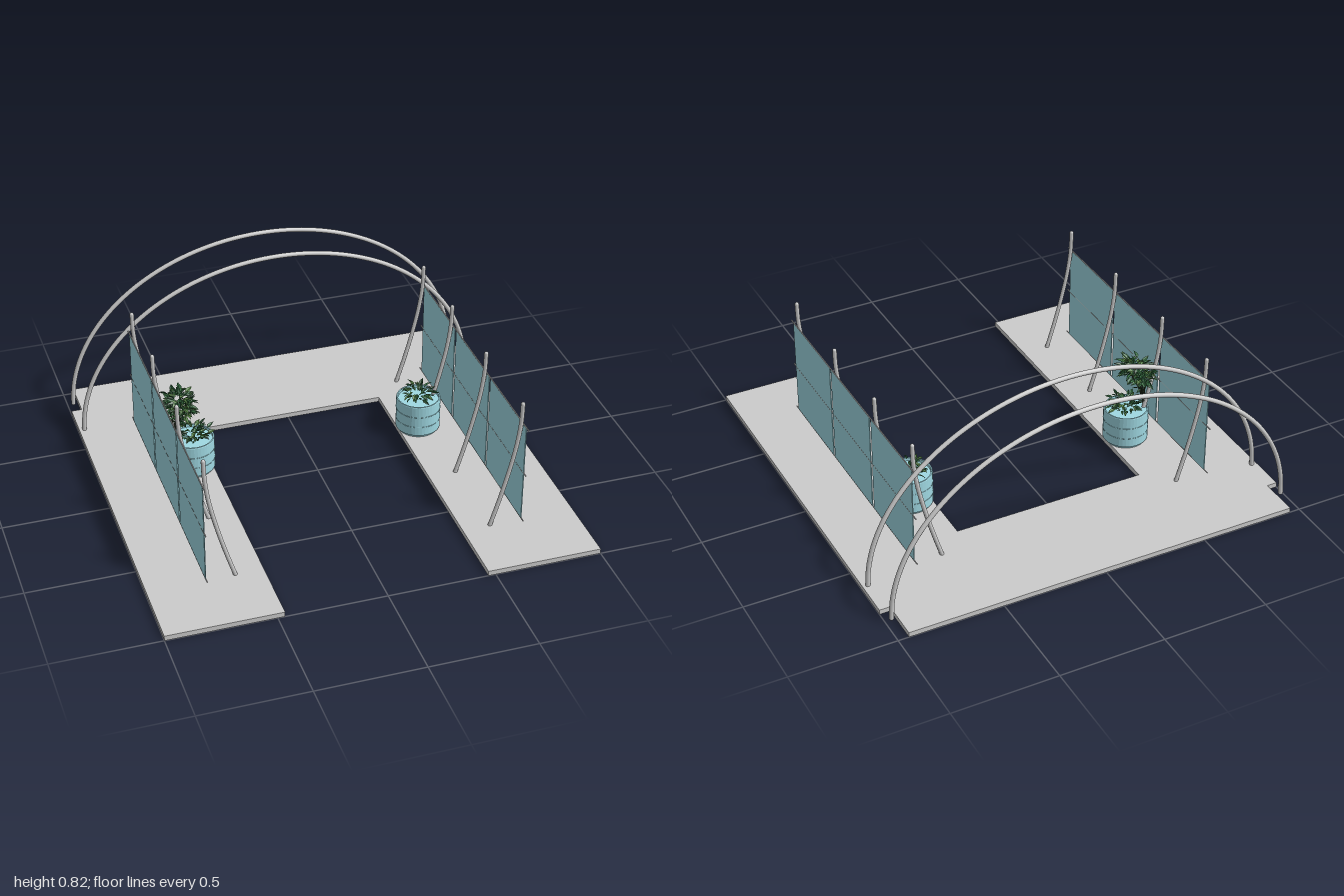
import * as THREE from 'three';
import { mergeGeometries } from 'three/addons/utils/BufferGeometryUtils.js';

const grey = new THREE.MeshStandardMaterial({ color: 0xcccccc });
const glass = new THREE.MeshStandardMaterial({ color: 0x9fd8e2 });
const soilGrey = new THREE.MeshStandardMaterial({ color: 0x9fd8e2 });
const bark = new THREE.MeshStandardMaterial({ color: 0x33402c });
const greens = [0x23502f, 0x3a7446, 0x5c8a4a].map(
  (color) => new THREE.MeshStandardMaterial({ color, side: THREE.DoubleSide, flatShading: true }));
const FLOOR = 0.03;

function add(parent, name, geometry, material) {
  const mesh = new THREE.Mesh(geometry, material);
  mesh.name = name;
  parent.add(mesh);
  return mesh;
}

function seeded(seed) {
  return () => (seed = (seed * 16807) % 2147483647) / 2147483647;
}

function tube(points, radius, steps = 24, sides = 10) {
  const curve = new THREE.CatmullRomCurve3(points.map((p) => new THREE.Vector3(...p)));
  const ends = [0, 1].map((t) => {
    const cap = new THREE.SphereGeometry(radius, sides, 6);
    const p = curve.getPoint(t);
    return cap.translate(p.x, p.y, p.z);
  });
  return mergeGeometries([new THREE.TubeGeometry(curve, steps, radius, sides), ...ends]);
}

// Pointed leaf, folded along its midrib and bent downwards, pointing along +z
function leaf(length, width) {
  const g = new THREE.PlaneGeometry(width, length, 2, 3).rotateX(Math.PI / 2);
  const p = g.attributes.position;
  const taper = [0.2, 1, 0.75, 0.05];
  for (let i = 0; i < p.count; i++) {
    const t = p.getZ(i) / length + 0.5;
    const x = p.getX(i) * taper[Math.round(t * 3)];
    p.setXYZ(i, x, Math.abs(x) * 0.5 - t * t * length * 0.25, t * length);
  }
  return g;
}

// Leaves spread through an ellipsoid, pointing outwards, one mesh per green
function foliage(parent, name, center, size, count, seed, length) {
  const rnd = seeded(seed);
  const sets = greens.map(() => []);
  for (let i = 0; i < count; i++) {
    const a = rnd() * Math.PI * 2;
    const r = Math.sqrt(rnd());
    const h = rnd() * 2 - 1;
    const k = Math.sqrt(1 - 0.7 * h * h) * r;
    const l = length * (0.7 + 0.5 * rnd());
    const g = leaf(l, l * 0.45);
    g.rotateZ((rnd() - 0.5) * 1.2).rotateX(-(rnd() * 1.1 - 0.3)).rotateY(Math.PI / 2 - a + (rnd() - 0.5));
    g.translate(center[0] + Math.cos(a) * k * size[0], center[1] + h * size[1], center[2] + Math.sin(a) * k * size[2]);
    sets[Math.floor(rnd() * sets.length)].push(g);
  }
  sets.forEach((s, i) => s.length && add(parent, name + (i + 1), mergeGeometries(s), greens[i]));
}

function pot(parent, x, z) {
  const group = new THREE.Group();
  group.name = 'planter';
  group.position.set(x, FLOOR, z);
  const profile = [[0, 0], [0.095, 0], [0.1, 0.012], [0.106, 0.014], [0.106, 0.168], [0.104, 0.172],
    [0.098, 0.172], [0.097, 0.158], [0, 0.158]].map((p) => new THREE.Vector2(...p));
  const body = new THREE.LatheGeometry(profile, 40).toNonIndexed();
  body.computeVertexNormals();
  add(group, 'pot', body, new THREE.MeshStandardMaterial({ color: 0x9fd8e2, flatShading: true }));
  // Raised hoops round the pot
  for (const y of [0.06, 0.115]) {
    const hoop = add(group, 'potHoop', new THREE.TorusGeometry(0.106, 0.0015, 6, 40), soilGrey);
    hoop.rotation.x = Math.PI / 2;
    hoop.position.y = y;
  }
  parent.add(group);
}

export function createModel() {
  const model = new THREE.Group();
  model.name = 'terrace';

  // U-shaped deck with a narrower step along the back
  const outline = [[-1, -1], [-0.467, -1], [-0.467, 0.47], [0.465, 0.47], [0.465, -1], [1, -1],
    [1, 0.81], [0.95, 0.81], [0.95, 1], [-0.95, 1], [-0.95, 0.81], [-1, 0.81]];
  const deck = new THREE.ExtrudeGeometry(new THREE.Shape(outline.map((p) => new THREE.Vector2(...p))),
    { depth: FLOOR - 0.006, bevelEnabled: false });
  add(model, 'deck', deck.rotateX(-Math.PI / 2).translate(0, 0.006, 0), grey);

  // Two half-elliptical arches
  for (const z of [-0.635, -0.88]) {
    const points = [];
    for (let i = 0; i <= 32; i++) {
      const a = (i / 32) * Math.PI;
      points.push([Math.cos(a) * 0.975, FLOOR + Math.sin(a) * 0.785, z]);
    }
    add(model, 'arch', tube(points, 0.011, 96, 12), grey);
  }

  for (const side of [-1, 1]) {
    const screen = new THREE.Group();
    screen.name = side > 0 ? 'leftScreen' : 'rightScreen';
    model.add(screen);

    // Bowed posts
    for (const z of [0.68, 0.24, -0.195, -0.585]) {
      const path = [[0.597, FLOOR], [0.637, 0.16], [0.675, 0.3], [0.706, 0.44], [0.722, 0.56], [0.725, 0.655]];
      add(screen, 'post', tube(path.map(([x, y]) => [x * side, y, z]), 0.01), grey);
    }
    // Glass panels
    for (const [z0, z1] of [[0.705, 0.278], [0.263, -0.16], [-0.177, -0.6]]) {
      const panel = add(screen, 'panel', new THREE.BoxGeometry(0.004, 0.485, z0 - z1), glass);
      panel.position.set(0.737 * side, 0.298, (z0 + z1) / 2);
    }
    // Horizontal wires
    for (const y of [0.055, 0.3, 0.543]) {
      const wire = add(screen, 'wire', new THREE.CylinderGeometry(0.003, 0.003, 1.36, 6), grey);
      wire.rotation.x = Math.PI / 2;
      wire.position.set(0.737 * side, y, 0.05);
    }
    pot(model, 0.56 * side, -0.175);
  }

  // Low plants in both pots
  foliage(model, 'leftPotLeaves', [0.56, 0.222, -0.18], [0.065, 0.022, 0.065], 60, 11, 0.036);
  foliage(model, 'rightPotLeaves', [-0.55, 0.222, -0.175], [0.07, 0.025, 0.075], 75, 23, 0.036);

  // Tall plant: stems rising from the deck beside the pot and fanning into a crown
  const stems = [];
  for (let i = 0; i < 7; i++) {
    const a = (i / 7) * Math.PI * 2;
    const c = Math.cos(a), s = Math.sin(a);
    stems.push(tube([[-0.673, FLOOR, -0.18 + s * 0.006], [-0.662, 0.13, -0.18 + s * 0.008],
      [-0.645 + c * 0.006, 0.25, -0.18 + s * 0.012], [-0.615 + c * 0.035, 0.38, -0.18 + s * 0.06]], 0.0035, 14, 5));
  }
  add(model, 'tallPlantStems', mergeGeometries(stems), bark);
  foliage(model, 'tallPlantLeaves', [-0.612, 0.39, -0.18], [0.058, 0.038, 0.105], 150, 37, 0.042);
  foliage(model, 'tallPlantLowerLeaves', [-0.633, 0.32, -0.18], [0.02, 0.04, 0.03], 25, 51, 0.03);

  return model;
}
